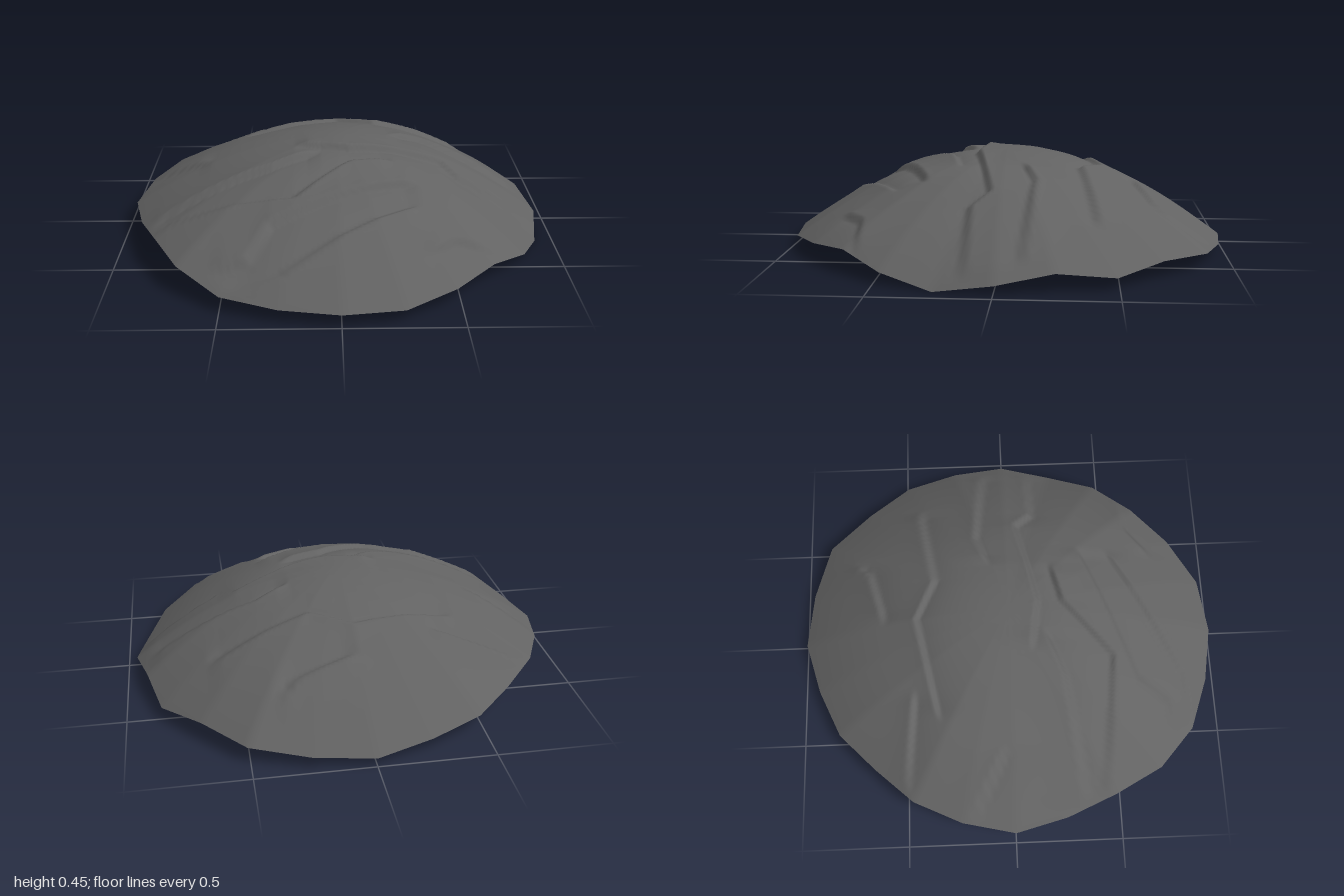
import * as THREE from 'three';

// Rim radius and height every 15 degrees, from the back round by the left side
const RADIUS = [1, 1, 1.02, 0.97, 0.98, 0.94, 0.96, 0.95, 0.95, 0.93, 0.96, 1,
  1, 0.99, 1, 0.98, 0.94, 0.94, 0.97, 0.95, 0.94, 0.92, 0.95, 0.96];
const HEIGHT = [4, 5, 7, 8, 5, 8, 4, 0, 5, 10, 8, 6, 6, 6, 7, 12, 14, 11, 10, 12, 13, 10, 8, 6];

// Rock ledges: each line runs from right to left as x, z pairs
const STEP = 0.027;
const LEDGES = [
  [-0.8, -0.5, -0.33, -0.44],
  [-0.48, -0.33, 0, -0.43, 0.18, -0.34, 0.64, -0.42],
  [0, -0.58, 0.28, -0.66, 0.38, -0.75],
  [0.24, -0.08, 0.4, -0.14, 0.9, -0.1],
  [-0.2, 0.1, 0.05, 0.14, 0.48, 0.05, 0.56, 0.13, 0.93, 0.13],
  [-0.88, 0.34, -0.3, 0.25, -0.08, 0.16],
  [-0.55, 0.76, -0.38, 0.75, -0.3, 0.6, 0.35, 0.34],
  [-0.95, -0.22, -0.6, -0.02],
  [0.35, 0.73, 0.5, 0.61, 0.76, 0.6],
];
// Ledges that step up towards the front instead
const RISING_LEDGES = [
  [-0.84, 0.42, -0.2, 0.48, 0.05, 0.25, 0.25, 0.2],
  [-0.5, 0.86, -0.25, 0.83, 0.35, 0.48],
];

// Height of one ledge: a sharp step that eases back on both sides
function ledgeHeight(p, x, z) {
  const x0 = p[0], x1 = p[p.length - 2];
  if (x <= x0 || x >= x1) return 0;
  let k = 0;
  while (x > p[k + 2]) k += 2;
  const d = z - THREE.MathUtils.mapLinear(x, p[k], p[k + 2], p[k + 1], p[k + 3]);
  const ends = Math.min(1, (x - x0) / 0.06, (x1 - x) / 0.06);
  return -STEP * 0.6 * ends * THREE.MathUtils.clamp(d / 0.013, -1, 1) * Math.exp(-Math.abs(d) / 0.07);
}

function relief(x, z) {
  const total = (lines) => lines.reduce((sum, p) => sum + ledgeHeight(p, x, z), 0);
  return total(LEDGES) - total(RISING_LEDGES);
}

// Corner of the faceted rim
function rimCorner(i) {
  const k = i % RADIUS.length;
  const angle = (k / RADIUS.length) * Math.PI * 2;
  return new THREE.Vector3(Math.sin(angle) * RADIUS[k], HEIGHT[k] / 100, -Math.cos(angle) * RADIUS[k]);
}

// One skin of the dome, built in rings from the crown to the rim
function skin(crown, roughness, inside) {
  const SUB = 9, RINGS = 84, n = RADIUS.length * SUB;
  const positions = [], index = [];
  const addFace = (a, b, c) => index.push(a, ...(inside ? [c, b] : [b, c]));
  for (let j = 0; j <= RINGS; j++) {
    const t = j / RINGS;
    for (let i = 0; i < n; i++) {
      const k = Math.floor(i / SUB);
      const rim = rimCorner(k).lerp(rimCorner(k + 1), (i % SUB) / SUB);
      const x = rim.x * t, z = rim.z * t;
      const dome = crown - (crown - rim.y) * Math.pow(t, 1.85);
      positions.push(x, dome + roughness * relief(x, z) * (1 - Math.pow(t, 10)), z);
      if (j === RINGS) continue;
      const p = j * n + i, q = j * n + (i + 1) % n;
      addFace(q, q + n, p + n);
      if (j > 0) addFace(p, q, p + n);
    }
  }
  const geometry = new THREE.BufferGeometry();
  geometry.setAttribute('position', new THREE.Float32BufferAttribute(positions, 3));
  geometry.setIndex(index);
  geometry.computeVertexNormals();
  // The crown is a single point, so it shares one upright normal
  for (let i = 0; i < n; i++) geometry.attributes.normal.setXYZ(i, 0, inside ? -1 : 1, 0);
  return geometry;
}

export function createModel() {
  const group = new THREE.Group();
  group.name = 'rockShell';
  const stone = new THREE.MeshStandardMaterial({ color: 0x626262 });
  stone.name = 'dark grey stone';

  const outer = new THREE.Mesh(skin(0.445, 1, false), stone);
  outer.name = 'outerRockFace';
  const inner = new THREE.Mesh(skin(0.405, 0.7, true), stone);
  inner.name = 'hollowUnderside';
  group.add(outer, inner);
  return group;
}
